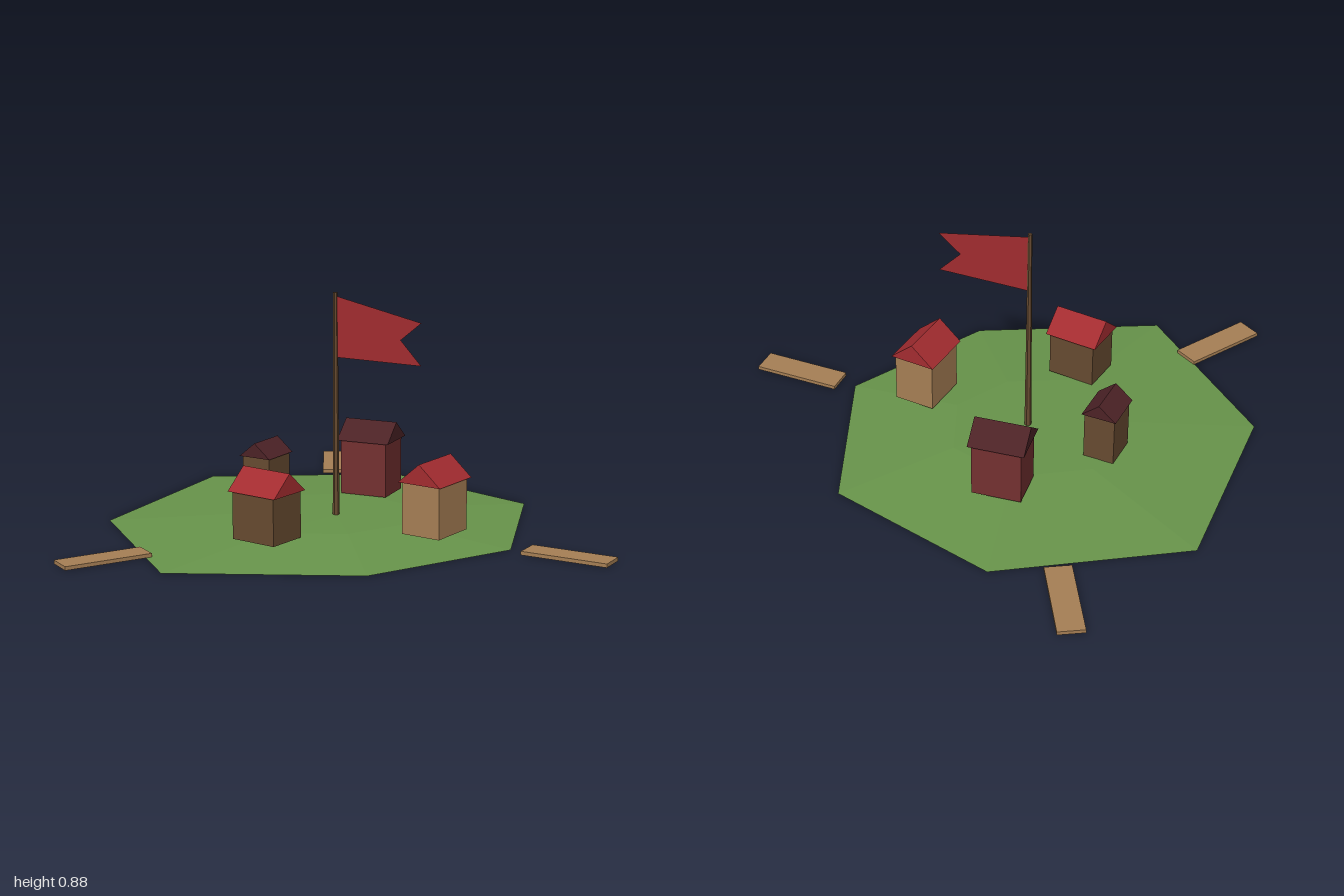
import * as THREE from 'three';

const mat = (name, color, opts = {}) =>
  new THREE.MeshStandardMaterial({ name, color, flatShading: true, ...opts });

const grass = mat('grass green', 0x67934a, { side: THREE.DoubleSide });
const wood = mat('light wood', 0xa57e54);
const darkWood = mat('dark wood', 0x664a30);
const maroon = mat('maroon wall', 0x733030);
const red = mat('red roof', 0xa32c30);
const darkRoof = mat('dark roof', 0x4c2226);
const cloth = mat('red cloth', 0xa02c2f, { side: THREE.DoubleSide });

const CENTRE_X = -0.155;

function add(parent, name, geometry, material) {
  const mesh = new THREE.Mesh(geometry, material);
  mesh.name = name;
  parent.add(mesh);
  return mesh;
}

// Low seven-sided mound: outer rim, raised inner ring, centre point
function moundGeometry() {
  const rim = [[0.57, 0], [0.28, 0.54], [-0.36, 0.86], [-0.93, 0.37],
    [-0.97, -0.4], [-0.34, -0.8], [0.33, -0.62]];
  const n = rim.length, top = 0.038, inner = 0.4;
  const points = [CENTRE_X, top, 0];
  for (const [x, z] of rim) {
    points.push(x, 0, z, CENTRE_X + (x - CENTRE_X) * inner, top - 0.001, z * inner);
  }
  const index = [];
  for (let i = 0; i < n; i++) {
    const o = 1 + i * 2, o2 = 1 + ((i + 1) % n) * 2;
    index.push(0, o2 + 1, o + 1, o, o + 1, o2 + 1, o, o2 + 1, o2);
  }
  const geo = new THREE.BufferGeometry();
  geo.setAttribute('position', new THREE.Float32BufferAttribute(points, 3));
  geo.setIndex(index);
  geo.computeVertexNormals();
  return geo;
}

// Box body under a solid gable roof, with the ridge along local z
function house(name, { x, z, turn, base, eave, ridge, width, depth, wall, roof }) {
  const g = new THREE.Group();
  g.name = name;
  const h = eave + 0.005 - base;
  add(g, 'walls', new THREE.BoxGeometry(width * 0.88, h, depth * 0.88), wall)
    .position.y = base + h / 2;
  const gable = new THREE.Shape([
    new THREE.Vector2(-width / 2, eave),
    new THREE.Vector2(width / 2, eave),
    new THREE.Vector2(0, ridge),
  ]);
  const roofGeo = new THREE.ExtrudeGeometry(gable, { depth, bevelEnabled: false });
  add(g, 'roof', roofGeo.translate(0, 0, -depth / 2), roof);
  g.position.set(x, 0, z);
  g.rotation.y = turn;
  return g;
}

export function createModel() {
  const model = new THREE.Group();
  model.name = 'islandCamp';

  add(model, 'mound', moundGeometry(), grass);

  // Four houses around the flag
  const big = { width: 0.18, depth: 0.212, base: 0.039 };
  model.add(
    house('eastHouse', { ...big, x: 0.28, z: 0.038, turn: -0.093, eave: 0.233, ridge: 0.31, wall: wood, roof: red }),
    house('frontHouse', { ...big, x: -0.205, z: 0.412, turn: 1.45, eave: 0.215, ridge: 0.293, wall: darkWood, roof: red }),
    house('backHouse', { ...big, x: -0.215, z: -0.376, turn: 1.675, eave: 0.25, ridge: 0.322, wall: maroon, roof: darkRoof }),
    house('westHouse', { width: 0.135, depth: 0.16, base: 0.036, x: -0.48, z: -0.028, turn: -0.03, eave: 0.228, ridge: 0.284, wall: darkWood, roof: darkRoof }),
  );

  // Flag pole and swallow-tailed flag
  add(model, 'flagPole', new THREE.CylinderGeometry(0.008, 0.013, 0.85, 6), darkWood)
    .position.set(CENTRE_X - 0.003, 0.455, -0.004);
  const flag = new THREE.Shape([[-0.155, 0.637], [0.2, 0.637], [0.115, 0.725],
    [0.2, 0.795], [-0.155, 0.866]].map(([x, y]) => new THREE.Vector2(x, y)));
  add(model, 'flag', new THREE.ShapeGeometry(flag), cloth).position.z = -0.004;

  // Three planks pointing outwards, a third of a turn apart
  [[0.798, -0.004, 0], [-0.628, 0.828, 1], [-0.643, -0.833, 2]].forEach(([x, z, i]) => {
    const plank = add(model, 'plank', new THREE.BoxGeometry(0.333, 0.014, 0.1), wood);
    plank.position.set(x, 0.008, z);
    plank.rotation.y = -i * Math.PI * 2 / 3;
  });

  return model;
}
